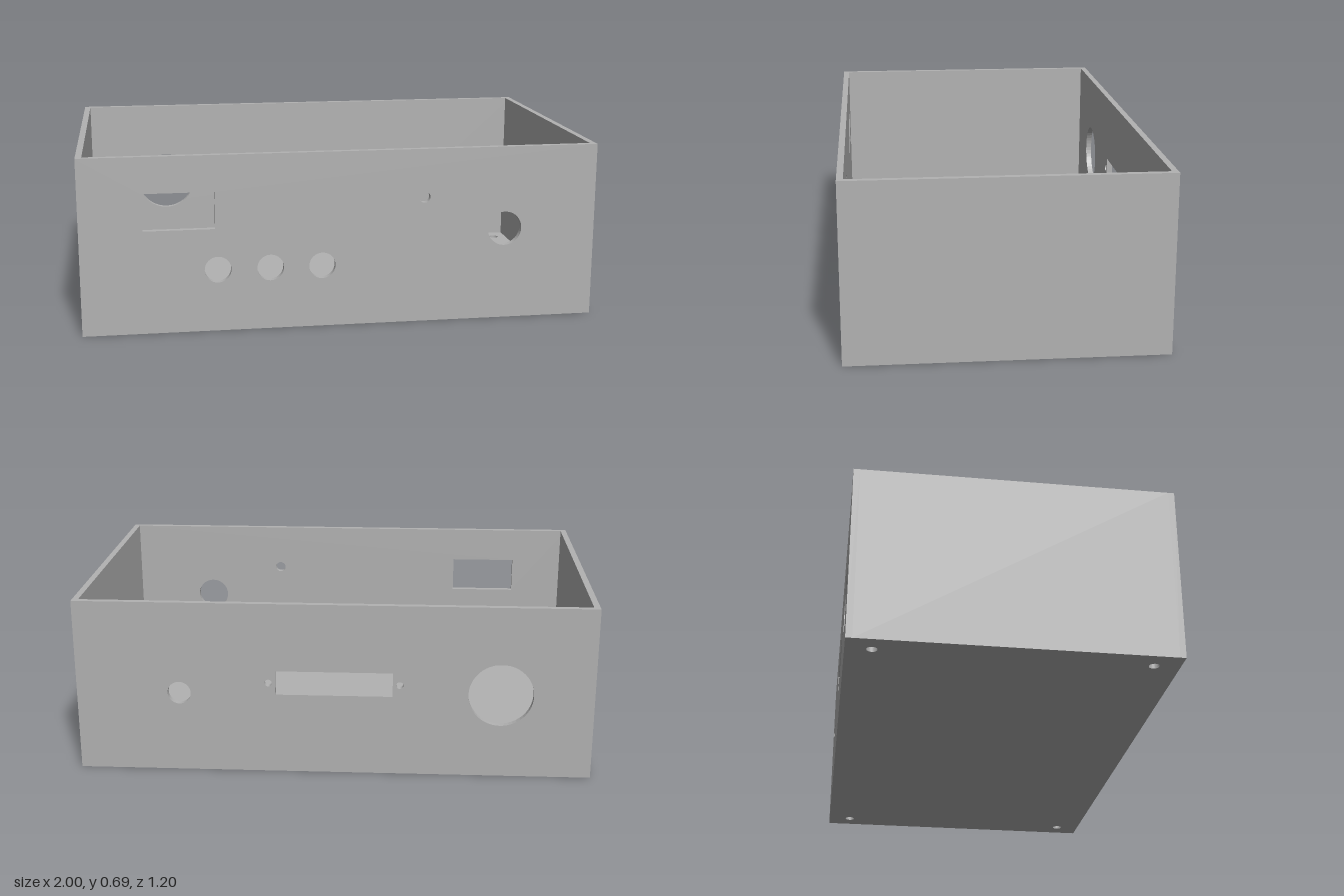
import * as THREE from 'three';

const W = 2, H = 0.688, D = 1.2, T = 0.024;

// Rectangle outline between two corners
function rect(PathType, x0, y0, x1, y1) {
  const p = new PathType();
  p.moveTo(x0, y0);
  p.lineTo(x1, y0);
  p.lineTo(x1, y1);
  p.lineTo(x0, y1);
  p.closePath();
  return p;
}

const round = (x, y, r) => new THREE.Path().absarc(x, y, r, 0, Math.PI * 2, true);
const slot = (x0, y0, x1, y1) => rect(THREE.Path, x0, y0, x1, y1);

// Flat panel of wall thickness with cut-outs
function panel(x0, y0, x1, y1, holes) {
  const shape = rect(THREE.Shape, x0, y0, x1, y1);
  shape.holes.push(...holes);
  return new THREE.ExtrudeGeometry(shape, { depth: T, bevelEnabled: false, curveSegments: 24 });
}

export function createModel() {
  const group = new THREE.Group();
  group.name = 'enclosure';
  const grey = new THREE.MeshStandardMaterial({ color: 0xb2b2b2 });
  grey.name = 'grey plastic';

  const add = (name, geometry) => {
    const mesh = new THREE.Mesh(geometry, grey);
    mesh.name = name;
    group.add(mesh);
  };

  // Front wall: display window, three buttons, indicator and knob holes
  const frontHoles = [
    slot(-0.762, 0.403, -0.49, 0.547),
    ...[-0.482, -0.281, -0.081].map((x) => round(x, 0.243, 0.051)),
    round(0.317, 0.499, 0.022),
    round(0.638, 0.363, 0.067),
  ];
  add('frontWall', panel(-W / 2, 0, W / 2, H, frontHoles).translate(0, 0, D / 2 - T));

  // Back wall: large port, connector slot with two screw holes, cable hole
  const backHoles = [
    round(-0.643, 0.336, 0.125),
    slot(-0.228, 0.322, 0.225, 0.418),
    round(-0.255, 0.369, 0.014),
    round(0.252, 0.369, 0.014),
    round(0.599, 0.322, 0.045),
  ];
  add('backWall', panel(-W / 2, 0, W / 2, H, backHoles).translate(0, 0, -D / 2));

  // Side walls fit between front and back
  for (const [name, side] of [['leftWall', 1], ['rightWall', -1]]) {
    add(name, new THREE.BoxGeometry(T, H, D - 2 * T).translate(side * (W - T) / 2, H / 2, 0));
  }

  // Floor with a screw hole in each corner
  const floorHoles = [];
  for (const sx of [-1, 1]) for (const sz of [-1, 1]) floorHoles.push(round(sx * 0.92, sz * 0.504, 0.02));
  const fx = W / 2 - T, fz = D / 2 - T;
  add('floor', panel(-fx, -fz, fx, fz, floorHoles).rotateX(-Math.PI / 2));

  return group;
}
